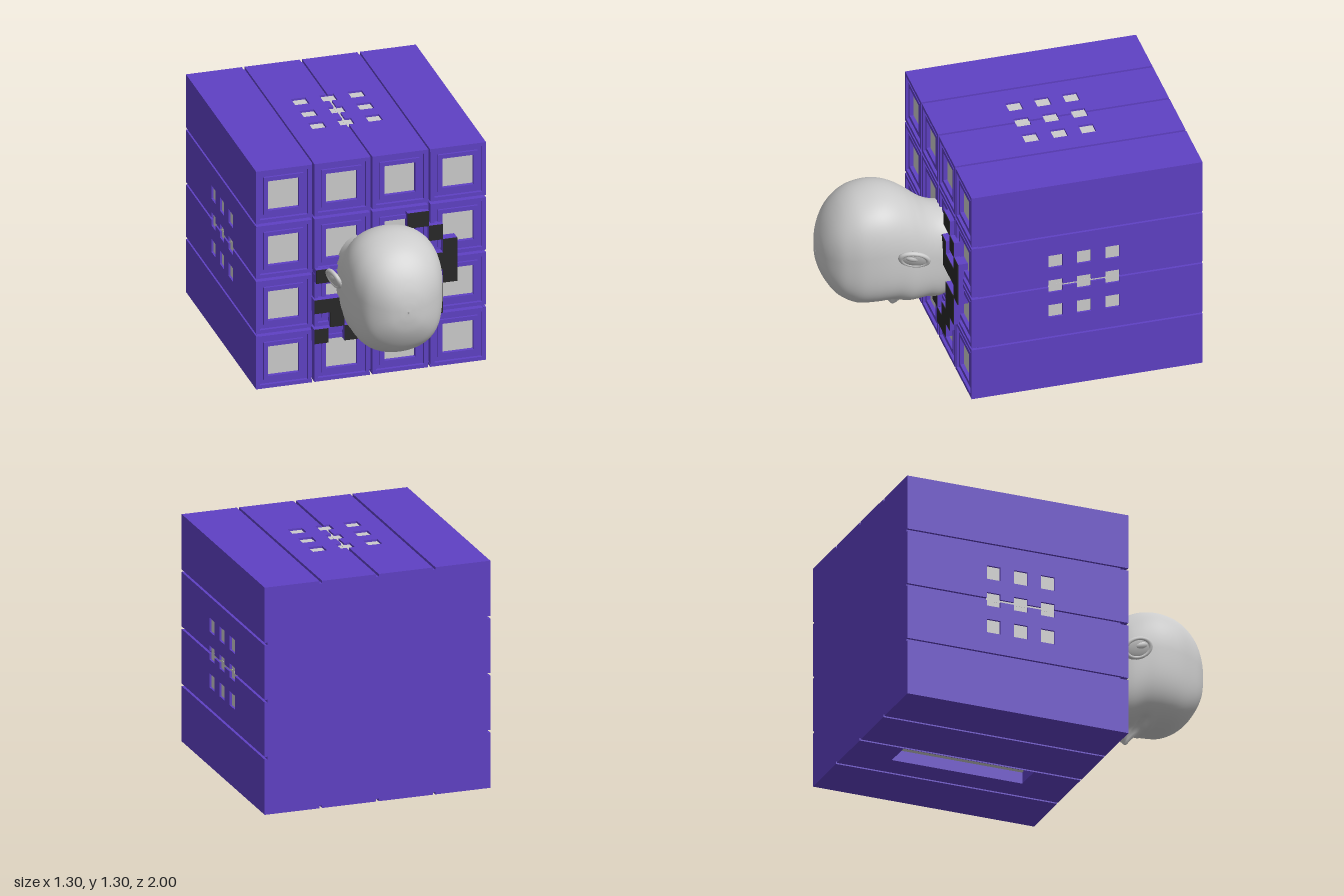
import * as THREE from 'three';
import { ParametricGeometry } from 'three/addons/geometries/ParametricGeometry.js';

const purple = new THREE.MeshStandardMaterial({ color: 0x5f41c4 });
const black = new THREE.MeshStandardMaterial({ color: 0x282828 });
const grey = new THREE.MeshStandardMaterial({ color: 0xcccccc });

const H = 0.6525;          // half side of the cube
const T = 0.015;           // thickness of the side planks
const BACK = -1, FRONT = 0.305, BED = 0.265;

function add(parent, name, geometry, material) {
  const mesh = new THREE.Mesh(geometry, material);
  mesh.name = name;
  parent.add(mesh);
  return mesh;
}

// Box given by its limits on each axis
function box(parent, name, material, x0, x1, y0, y1, z0, z1) {
  const mesh = add(parent, name, new THREE.BoxGeometry(x1 - x0, y1 - y0, z1 - z0), material);
  mesh.position.set((x0 + x1) / 2, (y0 + y1) / 2, (z0 + z1) / 2);
  return mesh;
}

function poly(points, Type = THREE.Shape) {
  return new Type(points.map(([x, y]) => new THREE.Vector2(x, y)));
}

function rect(x0, x1, y0, y1, Type) {
  return poly([[x0, y0], [x1, y0], [x1, y1], [x0, y1]], Type);
}

// Extrude a plan drawn in (x, -z) upwards along y
function slab(shape, depth) {
  return new THREE.ExtrudeGeometry(shape, { depth, bevelEnabled: false }).rotateX(-Math.PI / 2);
}

const ROWS = [0.17, 0.33, 0.49];      // distance of the vents behind z = 0
const SLOT = [0.01, 0.17, -0.03, 0.74];

// One side of the cube: four planks with grooves between, drawn as the top
function sidePanel(isBottom) {
  const panel = new THREE.Group();
  panel.name = isBottom ? 'bottomPanel' : 'sidePanel';
  for (const s of [-1, 1]) {
    const edge = [[s * 0.0075, -FRONT]];
    if (!isBottom) for (const v of ROWS) {
      edge.push([s * 0.0075, v - 0.04], [s * 0.04, v - 0.04], [s * 0.04, v + 0.04], [s * 0.0075, v + 0.04]);
    }
    edge.push([s * 0.0075, -BACK], [s * 0.32, -BACK], [s * 0.32, -FRONT]);
    const inner = poly(edge);
    if (!isBottom) {
      for (const v of ROWS) inner.holes.push(rect(s * 0.12, s * 0.2, v - 0.04, v + 0.04, THREE.Path));
    } else if (s < 0) {
      inner.holes.push(rect(-SLOT[1], -SLOT[0], SLOT[2], SLOT[3], THREE.Path));
    }
    add(panel, 'innerPlank', slab(inner, T), purple).position.y = H - T;
    add(panel, 'outerPlank', slab(rect(s * 0.335, s * H, -FRONT, -BACK), T), purple).position.y = H - T;
  }
  if (!isBottom) {
    const y = H - T;
    for (const u of [-0.16, 0, 0.16]) for (const v of ROWS) {
      box(panel, 'vent', grey, u - 0.04, u + 0.04, y - 0.002, y + 0.003, -v - 0.04, -v + 0.04);
    }
    box(panel, 'ventLink', grey, -0.0075, 0.0075, y - 0.002, y + 0.004, -0.49, -0.17);
  }
  return panel;
}

function frame(outer, inner, depth) {
  const shape = rect(-outer, outer, -outer, outer);
  shape.holes.push(rect(-inner, inner, -inner, inner, THREE.Path));
  return new THREE.ExtrudeGeometry(shape, { depth, bevelEnabled: false });
}

// Head lying with its crown towards +z and its face towards -y
function headGeometry() {
  // z, face y, back y, half width
  const keys = [
    [0.27, 0.33, 0.85, 0.19], [0.34, 0.308, 0.865, 0.195], [0.40, 0.318, 0.895, 0.205],
    [0.46, 0.315, 0.945, 0.22], [0.52, 0.32, 0.99, 0.24], [0.59, 0.345, 1.025, 0.255],
    [0.66, 0.352, 1.04, 0.265], [0.73, 0.354, 1.038, 0.265], [0.80, 0.362, 1.02, 0.255],
    [0.86, 0.39, 0.985, 0.232], [0.91, 0.432, 0.935, 0.202], [0.95, 0.49, 0.875, 0.158],
    [0.98, 0.555, 0.805, 0.105], [0.995, 0.62, 0.74, 0.05], [1.0, 0.68, 0.68, 0],
  ];
  const line = new THREE.CatmullRomCurve3(keys.map(k => new THREE.Vector3(k[0], k[1], k[2])), false, 'catmullrom');
  const wide = new THREE.CatmullRomCurve3(keys.map(k => new THREE.Vector3(k[3], 0, 0)), false, 'catmullrom');
  // Face relief: x, z, height, x spread, z spread
  const bumps = [
    [0, 0.562, 0.072, 0.034, 0.032], [0, 0.61, 0.036, 0.024, 0.04],
    [0.035, 0.545, 0.02, 0.018, 0.018], [0, 0.46, 0.026, 0.06, 0.016],
    [0, 0.405, 0.024, 0.052, 0.016], [0, 0.34, 0.01, 0.06, 0.025],
    [0.085, 0.625, -0.03, 0.042, 0.028], [0.085, 0.62, 0.014, 0.025, 0.014],
    [0.08, 0.675, 0.01, 0.06, 0.02],
  ];
  const a = new THREE.Vector3(), b = new THREE.Vector3();
  return new ParametricGeometry((u, v, out) => {
    line.getPoint(v, a);
    wide.getPoint(v, b);
    const c = Math.cos(u * 2 * Math.PI), s = Math.sin(u * 2 * Math.PI);
    const mid = a.y + (a.z - a.y) * 0.57;
    const x = b.x * c * (1 + (s < 0 ? 0.4 : 0.2) * s * s);
    let y = mid + s * (s > 0 ? a.z - mid : mid - a.y);
    if (s < 0) for (const [bx, bz, h, sx, sz] of bumps) {
      y += s * h * Math.exp(-(((Math.abs(x) - bx) / sx) ** 2) - ((a.x - bz) / sz) ** 2);
    }
    out.set(x, y, a.x);
  }, 112, 96);
}

function ear() {
  const group = new THREE.Group();
  group.name = 'ear';
  add(group, 'earShell', new THREE.SphereGeometry(1, 24, 16).scale(0.014, 0.055, 0.088), grey);
  add(group, 'earRim', new THREE.TorusGeometry(0.06, 0.013, 10, 32).rotateY(Math.PI / 2).scale(1, 0.85, 1.3), grey);
  add(group, 'earFold', new THREE.SphereGeometry(1, 16, 12).scale(0.02, 0.022, 0.045), grey).position.set(0, 0.01, 0.02);
  group.position.set(0.277, 0.71, 0.52);
  group.rotation.set(-0.38, 0, -0.42);
  return group;
}

export function createModel() {
  const model = new THREE.Group();
  model.name = 'cubeWithHead';

  // Core of the cube, with a recessed slot underneath
  const c = H - T;
  box(model, 'core', purple, -c, c, 0.07, 2 * H - T, BACK, BED);
  const base = rect(-c, c, -BED, -BACK);
  base.holes.push(rect(...SLOT, THREE.Path));
  add(model, 'coreBase', slab(base, 0.07 - T), purple).position.y = T;
  box(model, 'slotFloor', grey, SLOT[0], SLOT[1], 0.066, 0.072, -SLOT[3], -SLOT[2]);

  // Four planked sides around the z axis
  for (let k = 0; k < 4; k++) {
    const panel = sidePanel(k === 2);
    panel.position.y = H;
    panel.rotation.z = k * Math.PI / 2;
    model.add(panel);
  }

  // Front grid of stepped frames
  const rings = [[0.157, 0.136, 0.04], [0.136, 0.112, 0.022], [0.112, 0.088, 0.034]];
  for (let i = 0; i < 4; i++) for (let j = 0; j < 4; j++) {
    const tile = new THREE.Group();
    tile.name = 'frontTile';
    for (const [outer, inner, depth] of rings) add(tile, 'tileFrame', frame(outer, inner, depth), purple);
    box(tile, 'tileCentre', grey, -0.088, 0.088, -0.088, 0.088, 0, 0.012);
    tile.position.set((i - 1.5) * 0.33, H + (j - 1.5) * 0.33, BED);
    model.add(tile);
  }

  // Raised dark blocks on the front: x0, x1, y0, y1
  const blocks = [
    [0.2, 0.32, 0.86, 0.95], [0.32, 0.4, 0.77, 0.86], [0.4, 0.48, 0.51, 0.77],
    [0.16, 0.4, 0.59, 0.69], [0.16, 0.24, 0.69, 0.77], [0.24, 0.4, 0.33, 0.51],
    [0.16, 0.32, 0.24, 0.33], [0.08, 0.24, 0.15, 0.24], [-0.01, 0.075, 0.24, 0.33],
    [-0.16, -0.08, 0.24, 0.33], [-0.33, -0.25, 0.24, 0.325], [-0.33, -0.24, 0.42, 0.5],
    [-0.24, -0.16, 0.33, 0.5], [-0.32, -0.24, 0.6, 0.68],
  ];
  for (const r of blocks) {
    box(model, 'raisedBlock', purple, ...r, BED, 0.331);
    box(model, 'raisedBlockFace', black, ...r, 0.331, 0.335);
  }

  // Head and mirrored ears
  const head = new THREE.Group();
  head.name = 'head';
  add(head, 'skullAndFace', headGeometry(), grey);
  for (const s of [-1, 1]) {
    const side = new THREE.Group();
    side.name = s > 0 ? 'leftEar' : 'rightEar';
    side.scale.x = s;
    side.add(ear());
    head.add(side);
  }
  model.add(head);
  return model;
}
